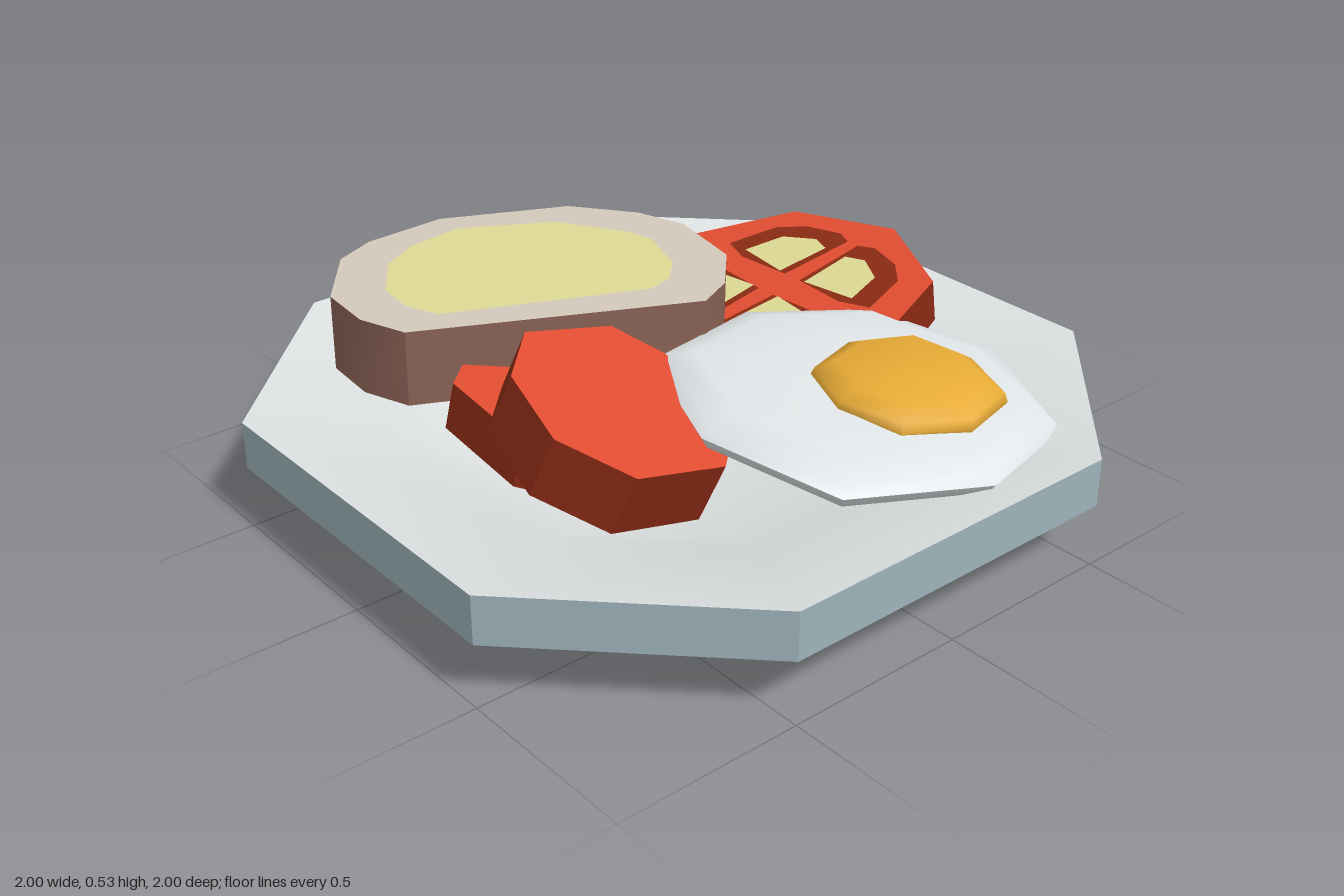
import * as THREE from 'three';
import { toCreasedNormals } from 'three/addons/utils/BufferGeometryUtils.js';

const mat = (name, color) => {
  const m = new THREE.MeshStandardMaterial({ color });
  m.name = name;
  return m;
};

// Lofts an x/z outline through [scale, height] rings standing on a sloped plane.
// plane = [height at the outline's centre, slope in x, slope in z]
function loft(outline, rings, plane = [0, 0, 0], { bottom = true, top = true, crease = 0.5, center } = {}) {
  let area = 0;
  outline.forEach((p, i) => {
    const q = outline[(i + 1) % outline.length];
    area += p[0] * q[1] - q[0] * p[1];
  });
  const pts = area > 0 ? [...outline].reverse() : outline;
  const n = pts.length;
  const [cx, cz] = center || [0, 1].map(k => pts.reduce((s, p) => s + p[k], 0) / n);
  const [y0, bx, bz] = plane;
  const up = new THREE.Vector3(-bx, 1, -bz).normalize();
  const pos = [], idx = [];
  const add = (x, z, s, h) => {
    const dx = (x - cx) * s, dz = (z - cz) * s;
    pos.push(cx + dx + up.x * h, y0 + bx * dx + bz * dz + up.y * h, cz + dz + up.z * h);
  };
  rings.forEach(([s, h]) => pts.forEach(([x, z]) => add(x, z, s, h)));
  const last = (rings.length - 1) * n;
  // cap centres sit at the middle of the outline
  const mx = pts.reduce((s, p) => s + p[0], 0) / n, mz = pts.reduce((s, p) => s + p[1], 0) / n;
  add(mx, mz, rings[0][0], rings[0][1]);
  add(mx, mz, rings[rings.length - 1][0], rings[rings.length - 1][1]);
  const low = last + n, high = low + 1;
  for (let i = 0; i < n; i++) {
    const j = (i + 1) % n;
    for (let r = 0; r < last; r += n) {
      idx.push(r + i, r + j, r + n + j, r + i, r + n + j, r + n + i);
    }
    if (bottom) idx.push(low, j, i);
    if (top) idx.push(high, last + i, last + j);
  }
  const g = new THREE.BufferGeometry();
  g.setAttribute('position', new THREE.Float32BufferAttribute(pos, 3));
  g.setIndex(idx);
  return toCreasedNormals(g, crease);
}

export function createModel() {
  const group = new THREE.Group();
  const plateMat = mat('plate white', 0xdde1e2);
  const rimMat = mat('rim blue grey', 0x9cb3b9);
  const eggMat = mat('egg white', 0xe8edef);
  const yolkMat = mat('yolk orange', 0xefb138);
  const crustMat = mat('crust brown', 0x8a6255);
  const breadMat = mat('bread beige', 0xd2c8ba);
  const paleMat = mat('pale yellow', 0xdcd893);
  const redMat = mat('red', 0xe04d32);
  const darkMat = mat('dark red', 0x8a2a14);

  const add = (name, geometry, material, parent = group) => {
    const m = new THREE.Mesh(geometry, material);
    m.name = name;
    parent.add(m);
  };
  const sub = name => {
    const g = new THREE.Group();
    g.name = name;
    group.add(g);
    return g;
  };
  // Slab with its upper face in another colour
  const slice = (name, outline, plane, thickness, sideMat, faceMat) => {
    const g = sub(name);
    add(name + 'Side', loft(outline, [[1, -thickness], [1, 0]], plane, { top: false }), sideMat, g);
    add(name + 'Face', loft(outline, [[1, 0]], plane, { bottom: false }), faceMat, g);
    return g;
  };

  // Plate: underside, rim band and dished top
  const plate = sub('plate');
  const oct = [[1, .5], [.5, 1], [-.5, 1], [-1, .5], [-1, -.5], [-.5, -1], [.5, -1], [1, -.5]];
  add('plateUnderside', loft(oct, [[.48, 0], [.68, .1], [1, .17]], undefined, { top: false, crease: .7 }), plateMat, plate);
  add('plateRim', loft(oct, [[1, .17], [1, .3]], undefined, { top: false, bottom: false }), rimMat, plate);
  add('plateTop', loft(oct, [[1, .3], [.68, .235], [.52, .15]], undefined, { bottom: false, crease: .7 }), plateMat, plate);

  // Two leaning meat slices
  const meat = [[-.43, -.07], [-.16, -.07], [-.08, .05], [-.06, .3], [-.23, .455], [-.5, .455], [-.62, .3], [-.58, .08]];
  slice('frontMeatSlice', meat, [.425, -.25, -.33], .17, darkMat, redMat);
  const backMeat = [[-.45, -.3], [-.18, -.3], [-.04, -.17], [-.04, .1], [-.18, .24], [-.43, .24], [-.57, .1], [-.57, -.19]];
  slice('backMeatSlice', backMeat, [.33, -.15, -.14], .13, darkMat, redMat);

  // Bread slice with a pale spread
  const loaf = [[-.67, -.45], [-.66, -.61], [-.52, -.79], [-.4, -.84], [-.16, -.85], [.18, -.7], [.31, -.54],
    [.36, -.4], [.32, -.17], [.2, -.04], [.09, .01], [-.62, -.32]];
  const breadPlane = [.503, 0, -.025];
  const bread = slice('bread', loaf, breadPlane, .21, crustMat, breadMat);
  const spread = [[-.54, -.44], [-.53, -.55], [-.44, -.68], [-.33, -.74], [-.16, -.76], [.08, -.63], [.2, -.45],
    [.22, -.37], [.17, -.22], [.1, -.15], [.02, -.13], [-.5, -.35]];
  add('spread', loft(spread, [[1, .004]], [.501, 0, -.025], { bottom: false }), paleMat, bread);

  // Tomato slice with four seed pockets
  const tx = .52, tz = -.17, slope = .15, ty = .345;
  const ring = Array.from({ length: 8 }, (_, i) => {
    const a = .07 + i * Math.PI / 4;
    return [tx + .43 * Math.cos(a), tz + .43 * Math.sin(a)];
  });
  const tomato = slice('tomato', ring, [ty, slope, 0], .15, darkMat, redMat);
  const pocket = [[.05, .03], [.29, .02], [.31, .07], [.28, .18], [.22, .25], [.07, .29], [.04, .2]];
  const seed = [[.05, .05], [.22, .04], [.24, .1], [.19, .19], [.07, .22]];
  for (const sx of [1, -1]) for (const sz of [1, -1]) {
    const patch = (name, shape, h, m) => {
      const pts = shape.map(([x, z]) => [tx + sx * x, tz + sz * z]);
      const mid = pts.reduce((s, p) => s + p[0], 0) / pts.length;
      add(name, loft(pts, [[1, h]], [ty + slope * (mid - tx), slope, 0], { bottom: false }), m, tomato);
    };
    patch('seedPocket', pocket, .003, darkMat);
    patch('seeds', seed, .006, paleMat);
  }

  // Fried egg
  const egg = sub('friedEgg');
  const white = [[-.25, .39], [-.1, .02], [.28, -.07], [.63, .09], [.75, .45], [.58, .81], [.22, .91], [-.15, .77]];
  add('eggWhite', loft(white, [[.96, -.03], [1, 0], [.95, .025], [.8, .05], [.4, .058]], [.325, -.08, -.07],
    { crease: 1.3 }), eggMat, egg);
  const yolk = [[.32, .295], [.5, .36], [.54, .54], [.47, .72], [.29, .77], [.12, .69], [.07, .52], [.14, .35]];
  add('yolk', loft(yolk, [[.9, -.02], [1, .015], [.96, .04], [.75, .068]], [.357, -.05, -.06],
    { crease: 1.2 }), yolkMat, egg);

  return group;
}
